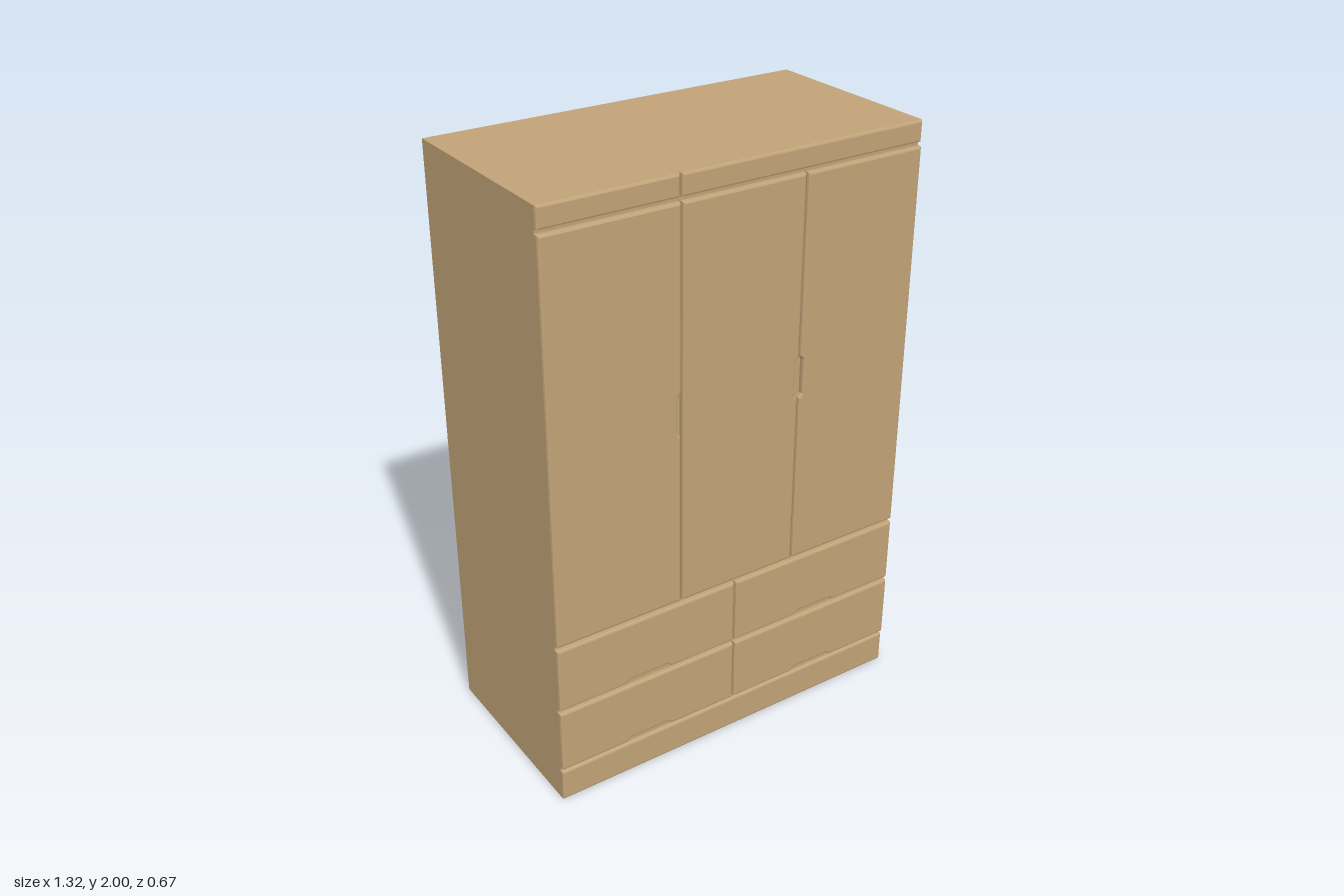
import * as THREE from 'three';

const W = 0.658;      // half width
const BACK = -0.335;
const CORE = 0.318;   // front plane of the carcass, seen inside the grooves
const BEVEL = 0.007;

export function createModel() {
  const root = new THREE.Group();
  root.name = 'wardrobe';
  const wood = new THREE.MeshStandardMaterial({ color: 0xc0a277 });
  wood.name = 'light wood';

  const add = (name, geometry) => {
    const mesh = new THREE.Mesh(geometry, wood);
    mesh.name = name;
    root.add(mesh);
    return mesh;
  };

  // Bevelled front panel; finger notches can be cut into its left, right or bottom edge
  function panel(name, x0, x1, y0, y1, front, notch = {}) {
    const points = [[x0, y0]];
    if (notch.bottom !== undefined) {
      const c = notch.bottom, d = 0.013;
      points.push([c - 0.085, y0], [c - 0.068, y0 + d], [c + 0.068, y0 + d], [c + 0.085, y0]);
    }
    points.push([x1, y0]);
    const low = 1.19, high = 1.335, d = 0.012;
    if (notch.right) {
      points.push([x1, low], [x1 - d, low + 0.014], [x1 - d, high - 0.014], [x1, high]);
    }
    points.push([x1, y1], [x0, y1]);
    if (notch.left) {
      points.push([x0, high], [x0 + d, high - 0.014], [x0 + d, low + 0.014], [x0, low]);
    }
    const shape = new THREE.Shape(points.map(([x, y]) => new THREE.Vector2(x, y)));
    const depth = 0.025;
    const geometry = new THREE.ExtrudeGeometry(shape, {
      depth, bevelEnabled: true, bevelSize: BEVEL, bevelOffset: -BEVEL,
      bevelThickness: BEVEL, bevelSegments: 2,
    });
    geometry.translate(0, 0, front - depth - BEVEL);
    add(name, geometry);
  }

  // Carcass
  const body = add('carcass', new THREE.BoxGeometry(2 * W, 2, CORE - BACK));
  body.position.set(0, 1, (CORE + BACK) / 2);

  // Plinth and the two cornice boards
  panel('plinth', -W, W, 0, 0.112, 0.332);
  panel('corniceRight', -W, -0.211, 1.931, 2, 0.332);
  panel('corniceLeft', -0.205, W, 1.931, 2, 0.332);

  // Three doors
  panel('doorRight', -W, -0.211, 0.601, 1.919, 0.336, { right: true });
  panel('doorMiddle', -0.205, 0.222, 0.601, 1.919, 0.336, { right: true });
  panel('doorLeft', 0.228, W, 0.601, 1.919, 0.336, { left: true });

  // Two rows of paired drawers
  for (const [row, y0, y1] of [['lower', 0.124, 0.346], ['upper', 0.359, 0.587]]) {
    panel(row + 'DrawerRight', -W, -0.003, y0, y1, 0.336, { bottom: -0.33 });
    panel(row + 'DrawerLeft', 0.003, W, y0, y1, 0.336, { bottom: 0.33 });
  }
  return root;
}
